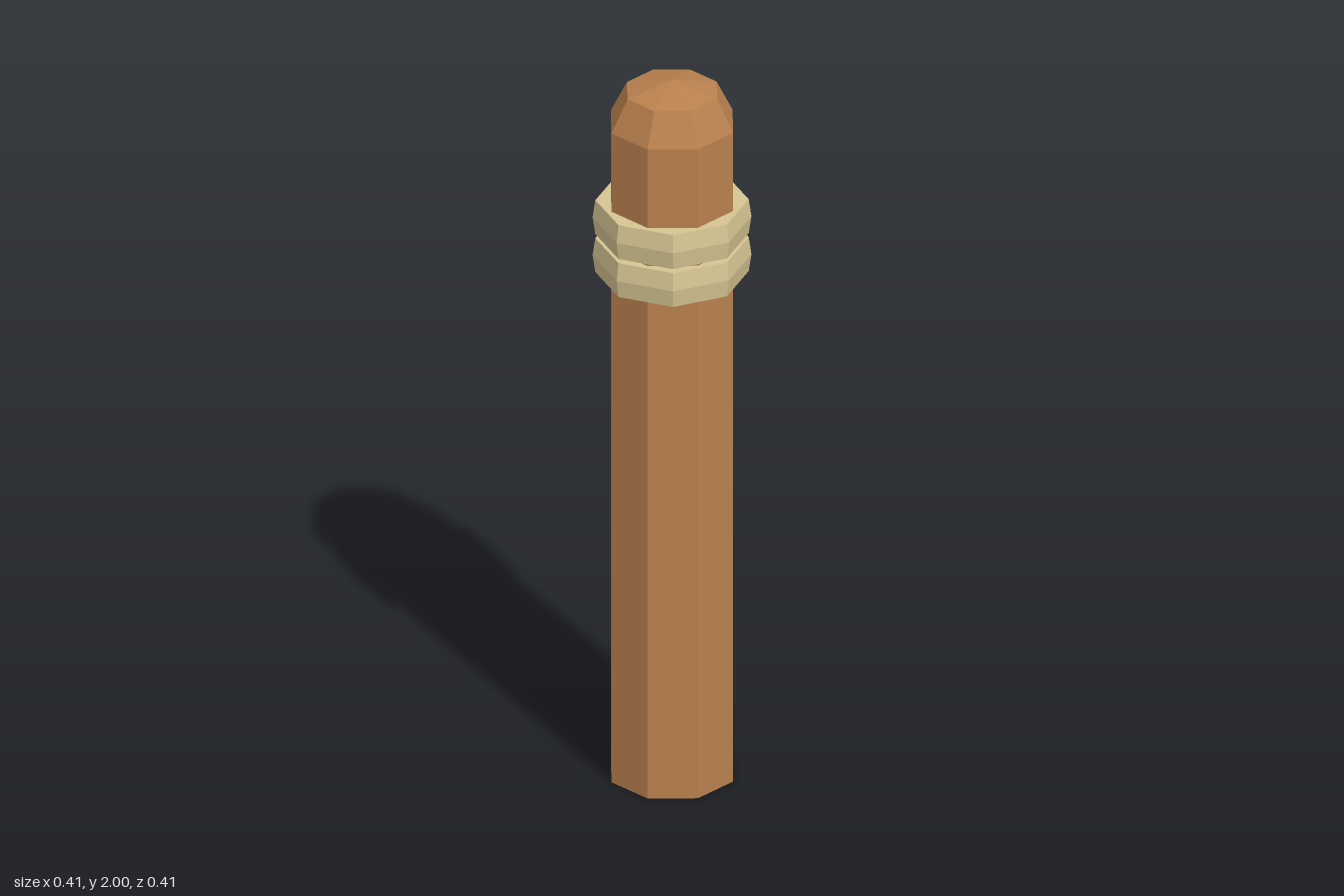
import * as THREE from 'three';

const SIDES = 8;

// Eight-sided turned solid from [radius, height] pairs listed bottom to top
function turned(name, profile, material, phase) {
  const points = profile.map(([r, y]) => new THREE.Vector2(r, y));
  const mesh = new THREE.Mesh(new THREE.LatheGeometry(points, SIDES, phase), material);
  mesh.name = name;
  return mesh;
}

export function createModel() {
  const wood = new THREE.MeshStandardMaterial({ color: 0xb9804e });
  wood.name = 'wood';
  wood.flatShading = true;
  const rope = new THREE.MeshStandardMaterial({ color: 0xd6c592 });
  rope.name = 'rope';
  rope.flatShading = true;

  const group = new THREE.Group();
  group.name = 'woodenPost';

  // Post with chamfered shoulder and shallow pointed top, flats facing the axes
  group.add(turned('post', [
    [0, 0], [0.169, 0], [0.169, 1.88], [0.1245, 1.97], [0, 2],
  ], wood, Math.PI / SIDES));

  // Two rope bands, slightly bulged, corners on the axes
  [['lowerRope', 1.494], ['upperRope', 1.604]].forEach(([name, y]) => {
    const h = 0.049;
    const band = turned(name, [
      [0.14, -h], [0.197, -h], [0.204, 0], [0.197, h], [0.14, h], [0.14, -h],
    ], rope, 0);
    band.position.y = y;
    group.add(band);
  });

  return group;
}
